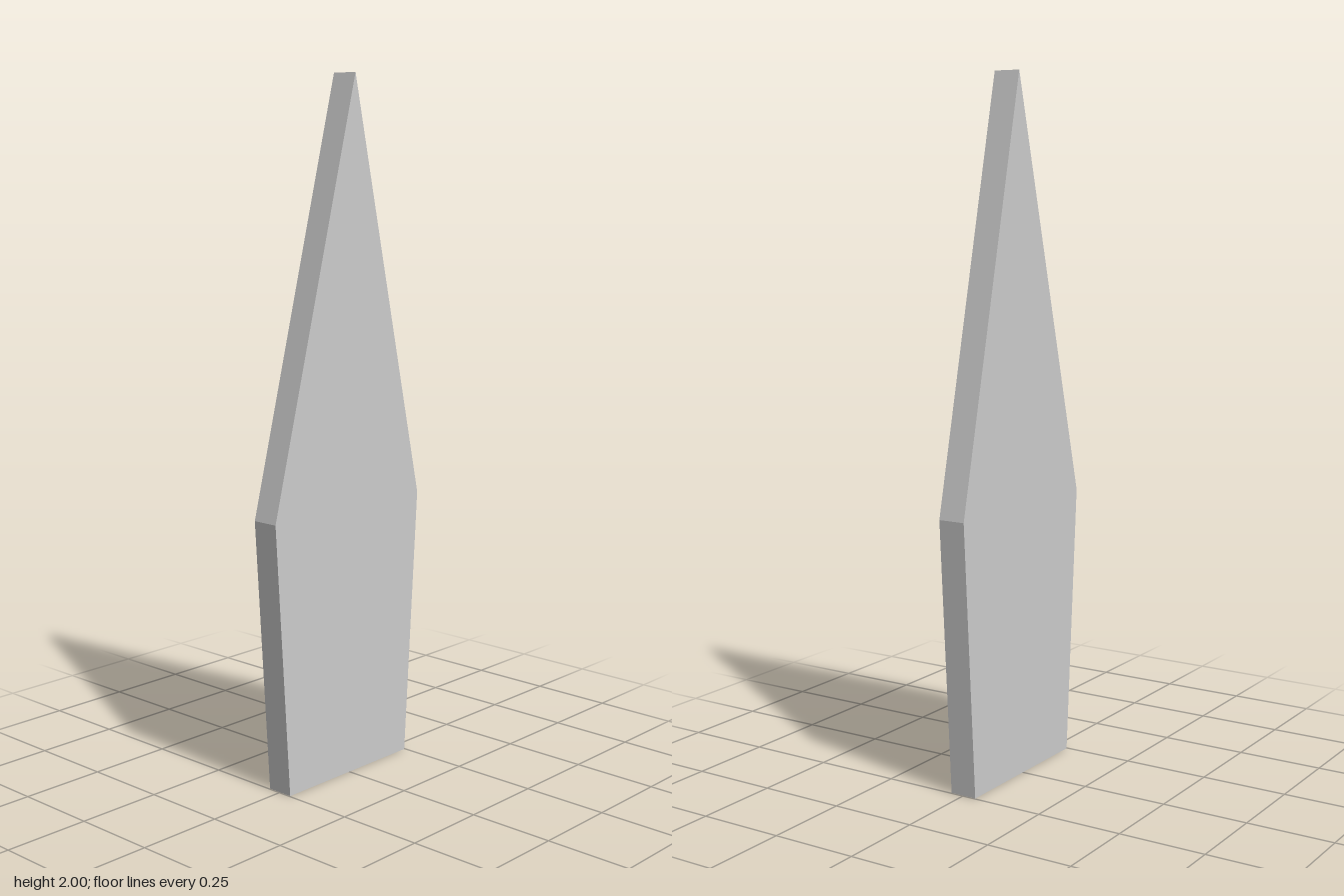
import * as THREE from 'three';

const THICKNESS = 0.08;

export function createModel() {
  const group = new THREE.Group();

  // Blade outline: narrow base, wide shoulders, slightly off-centre tip
  const outline = new THREE.Shape([
    [-0.247, 0], [0.247, 0], [0.298, 0.79], [0.022, 2], [-0.298, 0.79],
  ].map(([x, y]) => new THREE.Vector2(x, y)));

  // Extrude to a flat plate, centre it and turn its faces to the sides
  const geometry = new THREE.ExtrudeGeometry(outline, { depth: THICKNESS, bevelEnabled: false });
  geometry.translate(0, 0, -THICKNESS / 2);
  geometry.rotateY(Math.PI / 2);

  const blade = new THREE.Mesh(geometry, new THREE.MeshStandardMaterial({ color: 0xcccccc }));
  blade.name = 'blade';
  group.add(blade);
  return group;
}
